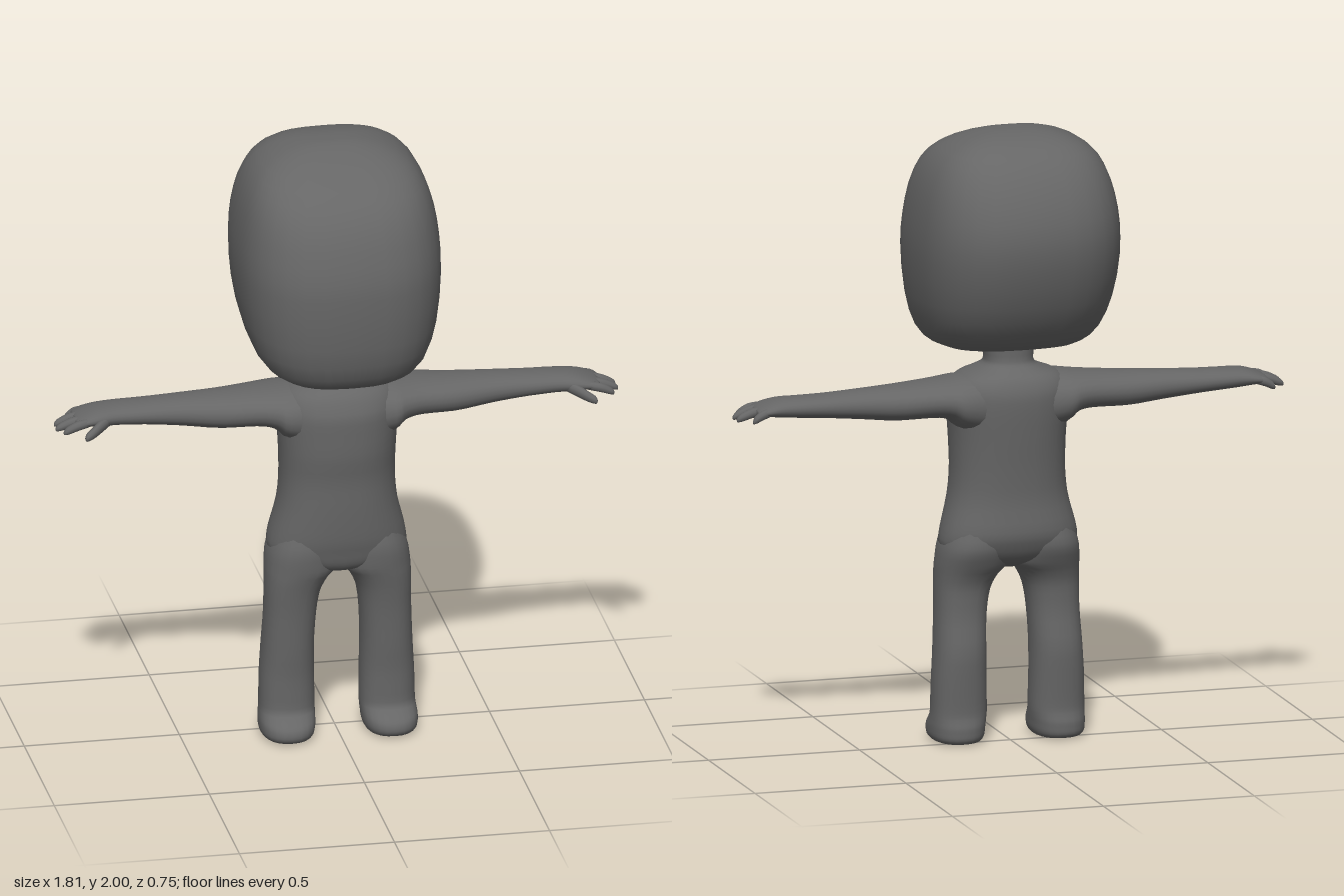
import * as THREE from 'three';

const clay = new THREE.MeshStandardMaterial({ color: 0x666666 });
clay.name = 'dark grey';

// Smooth, overshoot-free resampling of the section rows
function refine(rows, steps) {
  const slope = (i, k) => {
    if (i === 0) return rows[1][k] - rows[0][k];
    if (i === rows.length - 1) return rows[i][k] - rows[i - 1][k];
    const a = rows[i][k] - rows[i - 1][k], b = rows[i + 1][k] - rows[i][k];
    if (a * b <= 0) return 0;
    return Math.sign(a) * Math.min(Math.abs(a + b) / 2, 3 * Math.abs(a), 3 * Math.abs(b));
  };
  const out = [];
  for (let i = 0; i < rows.length - 1; i++) {
    for (let s = 0; s < steps; s++) {
      const t = s / steps, t2 = t * t, t3 = t2 * t;
      out.push(rows[i].map((p, k) =>
        (2 * t3 - 3 * t2 + 1) * p + (t3 - 2 * t2 + t) * slope(i, k) +
        (3 * t2 - 2 * t3) * rows[i + 1][k] + (t3 - t2) * slope(i + 1, k)));
    }
  }
  out.push(rows[rows.length - 1]);
  return out;
}

// Loft of superellipse sections along x or y.
// Row: [position, min, max of x (or y), min z, max z, tilt along z]
function loft(name, rows, { axis = 'y', power = 2.2, sides = 24, steps = 3, mirror = false } = {}) {
  const rings = refine(rows.map(r => (r.length < 6 ? [...r, 0] : r)), steps);
  const pos = [], index = [];
  const flip = mirror ? -1 : 1;
  const bend = v => Math.sign(v) * Math.pow(Math.abs(v), 2 / power);
  const put = (t, a, z) => (axis === 'y' ? pos.push(a * flip, t, z) : pos.push(t * flip, a, z));
  const tri = (a, b, c) => (mirror ? index.push(a, c, b) : index.push(a, b, c));
  for (const [t, a0, a1, z0, z1, tilt] of rings) {
    for (let j = 0; j < sides; j++) {
      const ang = (j / sides) * Math.PI * 2;
      const c = bend(Math.cos(ang)), s = bend(Math.sin(ang));
      const [u, w] = axis === 'y' ? [s, c] : [c, s];
      const z = (z0 + z1) / 2 + (w * (z1 - z0)) / 2;
      put(t + tilt * z, (a0 + a1) / 2 + (u * (a1 - a0)) / 2, z);
    }
  }
  for (let i = 0; i < rings.length - 1; i++) {
    for (let j = 0; j < sides; j++) {
      const k = (j + 1) % sides, a = i * sides, b = a + sides;
      tri(a + j, a + k, b + k);
      tri(a + j, b + k, b + j);
    }
  }
  // Close both ends
  for (const i of [0, rings.length - 1]) {
    const [t, a0, a1, z0, z1, tilt] = rings[i], z = (z0 + z1) / 2;
    const hub = pos.length / 3;
    put(t + tilt * z, (a0 + a1) / 2, z);
    for (let j = 0; j < sides; j++) {
      const a = i * sides + j, b = i * sides + ((j + 1) % sides);
      if (i === 0) tri(hub, b, a); else tri(hub, a, b);
    }
  }
  const geo = new THREE.BufferGeometry();
  geo.setAttribute('position', new THREE.Float32BufferAttribute(pos, 3));
  geo.setIndex(index);
  geo.computeVertexNormals();
  const mesh = new THREE.Mesh(geo, clay);
  mesh.name = name;
  return mesh;
}

// Tapered finger or thumb from points [x, y, z, radius]
const digit = (name, pts, mirror) => loft(name,
  pts.map(([x, y, z, r]) => [x, y - r, y + r, z - r, z + r]),
  { axis: 'x', power: 2, sides: 10, steps: 3, mirror });

export function createModel() {
  const model = new THREE.Group();
  model.name = 'figure';

  // Large rounded head, tilted along the jaw
  model.add(loft('head', [
    [1.28, -0.08, 0.08, -0.06, 0.12, -0.1],
    [1.282, -0.16, 0.16, -0.14, 0.22, -0.11],
    [1.3, -0.225, 0.225, -0.21, 0.29, -0.11],
    [1.35, -0.275, 0.275, -0.268, 0.34, -0.1],
    [1.45, -0.308, 0.308, -0.325, 0.37, -0.06],
    [1.6, -0.325, 0.325, -0.368, 0.377, 0],
    [1.7, -0.322, 0.322, -0.376, 0.36, 0],
    [1.8, -0.307, 0.307, -0.352, 0.325, 0],
    [1.88, -0.28, 0.28, -0.31, 0.268, 0],
    [1.94, -0.235, 0.235, -0.255, 0.18, 0],
    [1.98, -0.16, 0.16, -0.18, 0.085, 0],
    [1.998, -0.075, 0.075, -0.09, 0.015, 0],
    [2.0, -0.02, 0.02, -0.05, -0.01, 0],
  ], { power: 2.75, sides: 32, steps: 2 }));

  // Torso from crotch to neck
  model.add(loft('torso', [
    [0.565, -0.03, 0.03, 0.0, 0.09],
    [0.585, -0.11, 0.11, -0.05, 0.14],
    [0.61, -0.19, 0.19, -0.085, 0.16],
    [0.65, -0.224, 0.224, -0.108, 0.17],
    [0.7, -0.217, 0.217, -0.12, 0.18],
    [0.8, -0.192, 0.192, -0.11, 0.186],
    [0.9, -0.184, 0.184, -0.114, 0.188],
    [1.0, -0.187, 0.187, -0.122, 0.2],
    [1.1, -0.195, 0.195, -0.128, 0.2],
    [1.15, -0.192, 0.192, -0.124, 0.188],
    [1.19, -0.165, 0.165, -0.105, 0.165],
    [1.215, -0.105, 0.105, -0.075, 0.13],
    [1.24, -0.078, 0.078, -0.052, 0.102],
    [1.3, -0.085, 0.085, -0.05, 0.1],
  ], { power: 2.3, sides: 28 }));

  for (const mirror of [false, true]) {
    const side = mirror ? 'right' : 'left';

    // Leg running down into the foot
    model.add(loft(side + 'Leg', [
      [0.003, 0.115, 0.215, -0.02, 0.12],
      [0.01, 0.09, 0.242, -0.05, 0.16],
      [0.03, 0.079, 0.253, -0.06, 0.174],
      [0.055, 0.076, 0.254, -0.06, 0.167],
      [0.08, 0.074, 0.252, -0.054, 0.138],
      [0.11, 0.073, 0.25, -0.05, 0.12],
      [0.2, 0.075, 0.248, -0.055, 0.12],
      [0.3, 0.076, 0.242, -0.06, 0.128],
      [0.42, 0.071, 0.236, -0.045, 0.136],
      [0.5, 0.058, 0.235, -0.047, 0.146],
      [0.55, 0.033, 0.234, -0.062, 0.155],
      [0.59, 0.002, 0.232, -0.083, 0.162],
      [0.65, 0.002, 0.222, -0.104, 0.166],
      [0.72, 0.02, 0.19, -0.09, 0.15],
    ], { power: 2.35, mirror }));

    // Arm from inside the chest to the palm
    model.add(loft(side + 'Arm', [
      [0.08, 1.0, 1.202, -0.1, 0.16],
      [0.17, 1.025, 1.194, -0.115, 0.165],
      [0.21, 1.058, 1.189, -0.106, 0.15],
      [0.27, 1.067, 1.184, -0.093, 0.13],
      [0.37, 1.065, 1.177, -0.08, 0.113],
      [0.5, 1.078, 1.171, -0.065, 0.086],
      [0.62, 1.09, 1.165, -0.06, 0.076],
      [0.7, 1.096, 1.163, -0.058, 0.076],
      [0.76, 1.1, 1.16, -0.055, 0.086],
      [0.8, 1.105, 1.151, -0.056, 0.09],
      [0.835, 1.107, 1.138, -0.05, 0.086],
      [0.845, 1.114, 1.13, -0.04, 0.075],
    ], { axis: 'x', mirror }));

    // Four fingers, drooping slightly at the tips
    [[-0.04, 0.865], [0.003, 0.905], [0.042, 0.907], [0.078, 0.888]].forEach(([z, tip], i) => {
      const base = 0.8, len = tip - base;
      model.add(digit(side + 'Finger' + (i + 1), [
        [base, 1.127, z * 0.9 + 0.002, 0.014],
        [base + len * 0.5, 1.119, z, 0.016],
        [base + len * 0.85, 1.106, z, 0.013],
        [tip - 0.003, 1.1, z, 0.008],
        [tip, 1.099, z, 0.002],
      ], mirror));
    });

    // Thumb angled towards the front
    model.add(digit(side + 'Thumb', [
      [0.735, 1.125, 0.058, 0.018],
      [0.77, 1.115, 0.085, 0.021],
      [0.8, 1.102, 0.108, 0.018],
      [0.82, 1.094, 0.118, 0.013],
      [0.826, 1.092, 0.12, 0.003],
    ], mirror));
  }
  return model;
}
